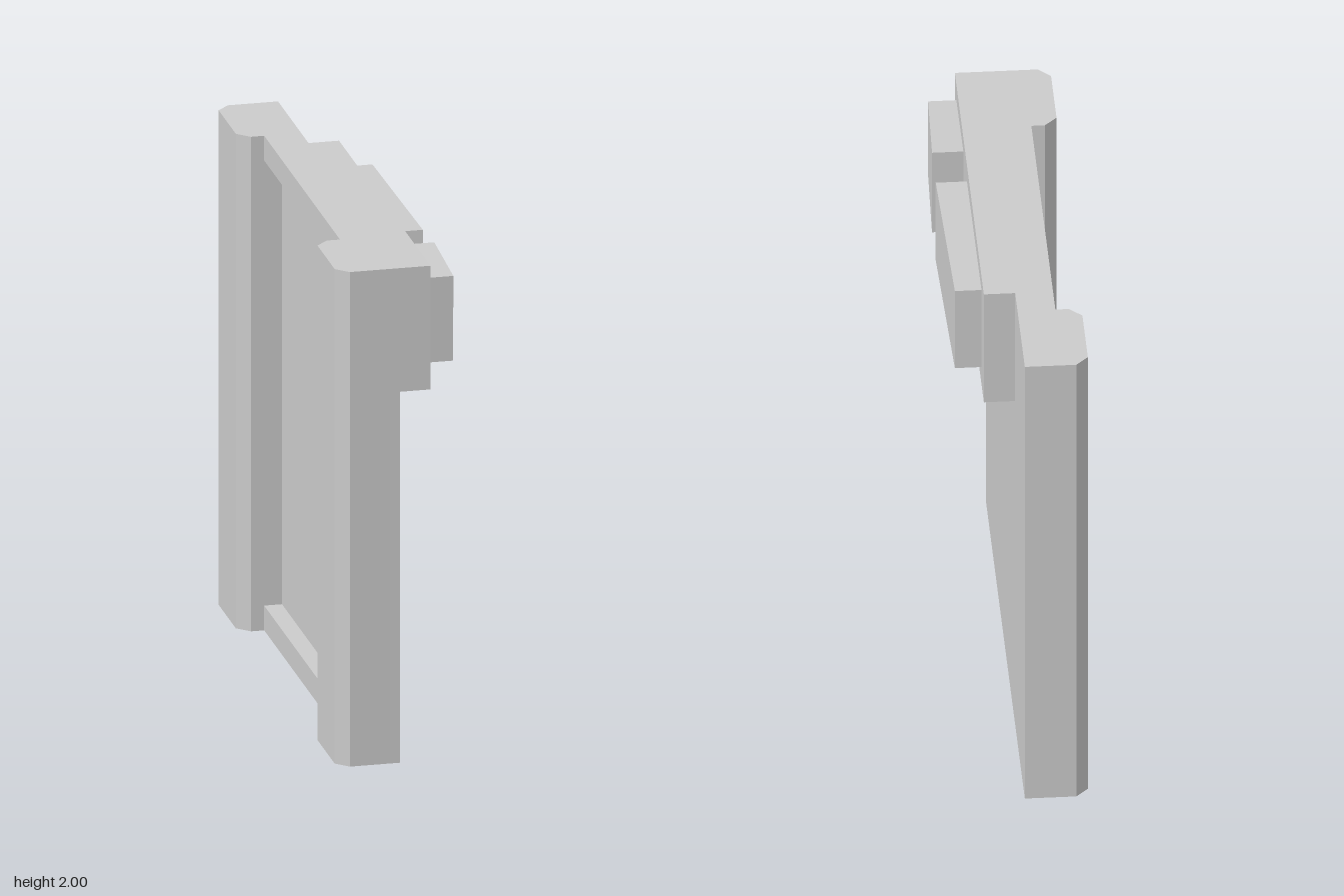
import * as THREE from 'three';

const material = new THREE.MeshStandardMaterial({ color: 0xcccccc, flatShading: true });

function add(group, name, geometry) {
  const mesh = new THREE.Mesh(geometry, material);
  mesh.name = name;
  group.add(mesh);
}

// Box given by its lower and upper limits
function box(x0, x1, y0, y1, z0, z1) {
  return new THREE.BoxGeometry(x1 - x0, y1 - y0, z1 - z0)
    .translate((x0 + x1) / 2, (y0 + y1) / 2, (z0 + z1) / 2);
}

function extrude(points, depth) {
  const shape = new THREE.Shape(points.map(([a, b]) => new THREE.Vector2(a, b)));
  return new THREE.ExtrudeGeometry(shape, { depth, bevelEnabled: false });
}

// Full-height post with two chamfered edges on its -x side
function post(z0, z1) {
  const c = 0.048, back = -0.245;
  return extrude([
    [0, -z0], [back + c, -z0], [back, -z0 - c],
    [back, -z1 + c], [back + c, -z1], [0, -z1],
  ], 2).rotateX(-Math.PI / 2);
}

// Uneven slab from (z, y) corners; its outer face slopes from x0 at z0 to x1 at z1
function slab(corners, z0, x0, z1, x1) {
  const base = 0.12;
  const geometry = extrude(corners.map(([z, y]) => [-z, y]), 0.1).rotateY(Math.PI / 2);
  const p = geometry.attributes.position;
  for (let i = 0; i < p.count; i++) {
    const t = (p.getZ(i) - z0) / (z1 - z0);
    p.setX(i, p.getX(i) > 0.05 ? x0 + (x1 - x0) * t : base);
  }
  geometry.computeVertexNormals();
  return geometry;
}

export function createModel() {
  const model = new THREE.Group();
  model.name = 'wallSegment';
  const inner = 0.622, rail = 0.1;

  // Posts at both ends
  add(model, 'frontPost', post(inner, 1));
  add(model, 'backPost', post(-1, -inner));

  // Recessed panel between a bottom and a top rail
  add(model, 'panel', box(-0.075, 0, rail, 2 - rail, -inner, inner));
  add(model, 'bottomRail', box(-0.145, 0, 0, rail, -inner, inner));
  add(model, 'topRail', box(-0.145, 0, 2 - rail, 2, -inner, inner));

  // Raised block with two uneven slabs on the +x face
  add(model, 'raisedBlock', box(0, 0.12, 1.5, 2, -0.5, 1));
  add(model, 'longSlab', slab(
    [[0.375, 1.925], [0.39, 1.565], [-0.378, 1.58], [-0.378, 1.937]],
    -0.378, 0.222, 0.39, 0.24));
  add(model, 'shortSlab', slab(
    [[0.925, 1.925], [0.918, 1.58], [0.565, 1.565], [0.56, 1.937]],
    0.56, 0.24, 0.925, 0.228));

  return model;
}
